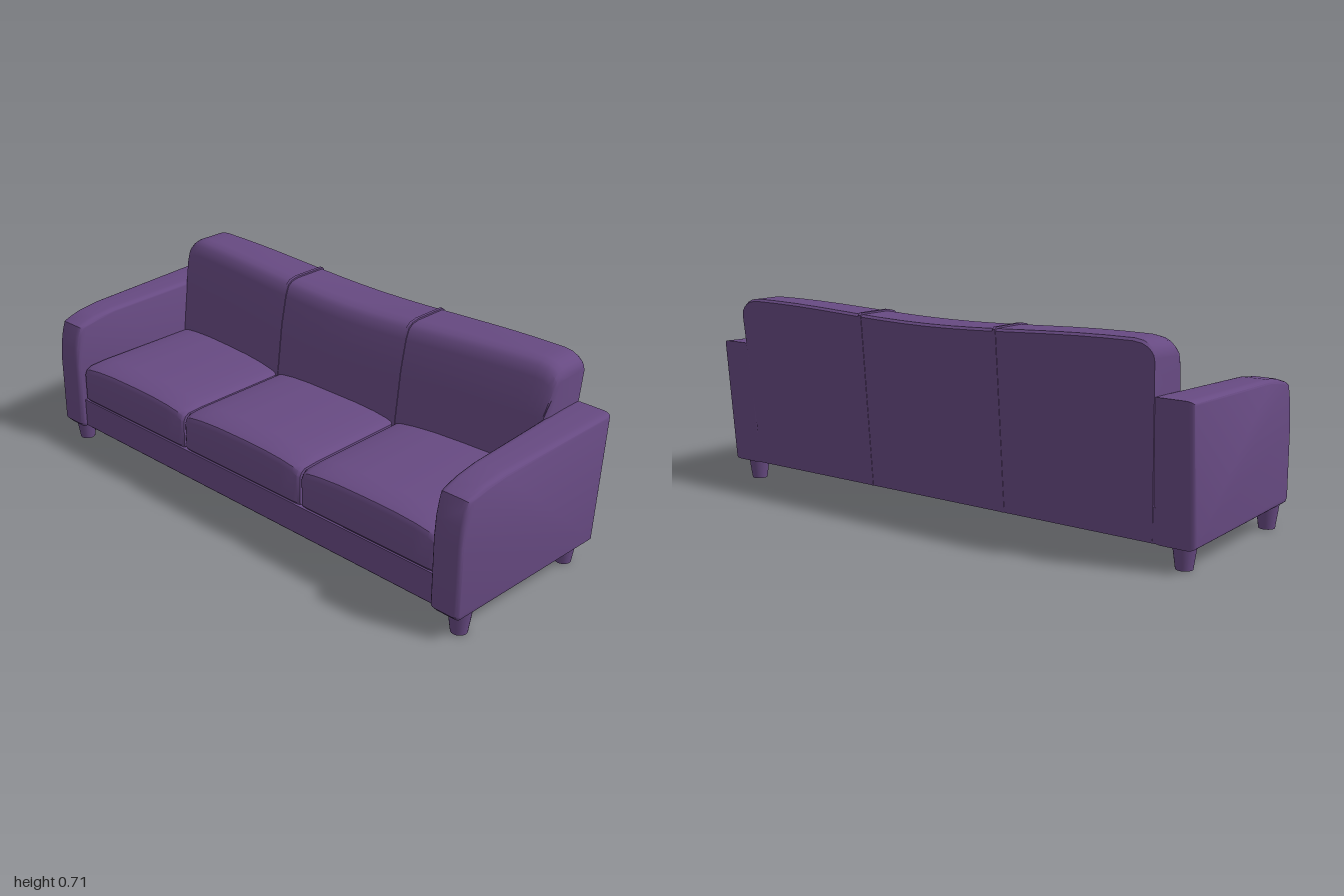
import * as THREE from 'three';
import { toCreasedNormals } from 'three/addons/utils/BufferGeometryUtils.js';

const fabric = new THREE.MeshStandardMaterial({ color: 0x674a82 });
fabric.name = 'purple fabric';

const { lerp, smoothstep } = THREE.MathUtils;

// Skins a closed [z, y] section along the x stations and caps both ends.
// Sections run forward along the bottom, up the front, back along the top.
function loft(xs, section, warp = (x) => x) {
  const pos = [], idx = [];
  const n = section(xs[0]).length;
  xs.forEach((x) => section(x).forEach(([z, y]) => pos.push(warp(x, y), y, z)));
  for (let i = 0; i < xs.length - 1; i++) {
    for (let j = 0; j < n; j++) {
      const k = (j + 1) % n;
      const a = i * n + j, b = a + n, c = (i + 1) * n + k, d = i * n + k;
      idx.push(a, b, c, a, c, d);
    }
  }
  const last = (xs.length - 1) * n;
  const tris = THREE.ShapeUtils.triangulateShape(
    section(xs[0]).map(([z, y]) => new THREE.Vector2(z, y)), []);
  for (const [a, b, c] of tris) idx.push(a, b, c, last + a, last + c, last + b);
  const g = new THREE.BufferGeometry();
  g.setAttribute('position', new THREE.Float32BufferAttribute(pos, 3));
  g.setIndex(idx);
  return toCreasedNormals(g, 0.65);
}

// Backrest section: dips in the middle, wraps back and rounds off at the ends
function backSection(x) {
  const ax = Math.abs(x);
  const u = Math.min(1, Math.max(0, (ax - 0.8) / 0.075));
  const top = 0.682 + 0.024 * Math.sin(Math.PI / 2 * Math.min(1, ax / 0.75)) ** 2
    - 0.055 * (1 - Math.sqrt(1 - u * u));
  const f = -0.045 * (ax / 0.87) ** 1.5;
  return [
    [-0.318, 0.08], [-0.1 + f, 0.08], [-0.112 + f, 0.34], [-0.136 + f, 0.53],
    [-0.158 + f, top - 0.055], [-0.172 + f, top - 0.02], [-0.19 + f, top - 0.006],
    [-0.222 + f * 0.8, top], [-0.357, top], [-0.366, top - 0.008],
  ];
}

// Piping follows the backrest, standing slightly proud of it
const pipingSection = (x) => backSection(x).map(([z, y]) =>
  [-0.25 + (z + 0.25) * 1.02, Math.max(0.08, 0.4 + (y - 0.4) * 1.02)]);

// Ends of the backrest narrow towards the arms
const narrowEnds = (x, y) =>
  x - Math.sign(x) * 0.023 * smoothstep(Math.abs(x), 0.7, 0.87) * (1 - smoothstep(y, 0.48, 0.66));

// Crowned seat cushion with softened sides
function cushionGeometry(cx, width) {
  const us = [-1, -0.97, -0.9, -0.7, -0.4, 0, 0.4, 0.7, 0.9, 0.97, 1];
  return loft(us.map((u) => cx + u * width / 2), (x) => {
    const u = Math.abs((x - cx) / (width / 2));
    const inset = 0.008 * u ** 40;
    const h = 0.357 - 0.02 * u ** 3 - 0.008 * u ** 40;
    return [
      [-0.2, 0.195], [0.338 - inset, 0.195], [0.346 - inset, 0.205], [0.346 - inset, h - 0.03],
      [0.338 - inset, h - 0.014], [0.315, h - 0.004], [0.25, h], [-0.2, h],
    ];
  });
}

// Arm: side profile with soft edges, widening towards the back
function armGeometry(side) {
  const profile = [
    [0.352, 0.078], [0.368, 0.095], [0.368, 0.34], [0.362, 0.41], [0.352, 0.455], [0.34, 0.49],
    [0.32, 0.499], [0.265, 0.514], [0.18, 0.524], [-0.354, 0.537], [-0.318, 0.078],
  ];
  const shape = new THREE.Shape(profile.map(([z, y]) => new THREE.Vector2(-z, y)));
  const bevel = 0.026, depth = 0.08;
  const g = new THREE.ExtrudeGeometry(shape, {
    depth, bevelThickness: bevel, bevelSize: 0.014, bevelOffset: -0.014, bevelSegments: 4,
  });
  g.rotateY(Math.PI / 2);
  const p = g.attributes.position;
  for (let i = 0; i < p.count; i++) {
    const u = (p.getX(i) + bevel) / (depth + 2 * bevel);
    const t = (0.36 - p.getZ(i)) / 0.715;
    p.setX(i, side * lerp(lerp(0.862, 0.85, t), lerp(0.972, 1, t), side > 0 ? u : 1 - u));
  }
  return toCreasedNormals(g, 0.65);
}

export function createModel() {
  const sofa = new THREE.Group();
  sofa.name = 'sofa';
  const add = (name, geometry) => {
    const mesh = new THREE.Mesh(geometry, fabric);
    mesh.name = name;
    sofa.add(mesh);
    return mesh;
  };

  // Base under the seat
  add('base', loft([-0.87, 0.87], () => [
    [-0.318, 0.08], [0.338, 0.08], [0.345, 0.087], [0.345, 0.195], [-0.325, 0.195],
  ]));

  // Backrest, with closer stations at the rounded ends
  const half = [0.1, 0.2, 0.288, 0.4, 0.5, 0.6, 0.7, 0.76, 0.8, 0.83, 0.85, 0.863, 0.871, 0.875];
  const stations = [...half.map((x) => -x).reverse(), 0, ...half];
  add('backrest', loft(stations, backSection, narrowEnds));

  // Seat cushions
  for (const [name, x] of [['rightCushion', -0.575], ['middleCushion', 0], ['leftCushion', 0.575]]) {
    add(name, cushionGeometry(x, 0.566));
  }

  // Arms, back piping and legs on each side
  for (const [name, side] of [['right', -1], ['left', 1]]) {
    add(name + 'Arm', armGeometry(side));
    const c = side * 0.288;
    add(name + 'Piping', loft([c - 0.006, c + 0.006], pipingSection));
    for (const [end, z] of [['Front', 0.298], ['Back', -0.257]]) {
      const leg = add(name + end + 'Leg', new THREE.CylinderGeometry(0.04, 0.028, 0.085, 20));
      leg.position.set(side * 0.93, 0.0425, z);
    }
  }
  return sofa;
}
